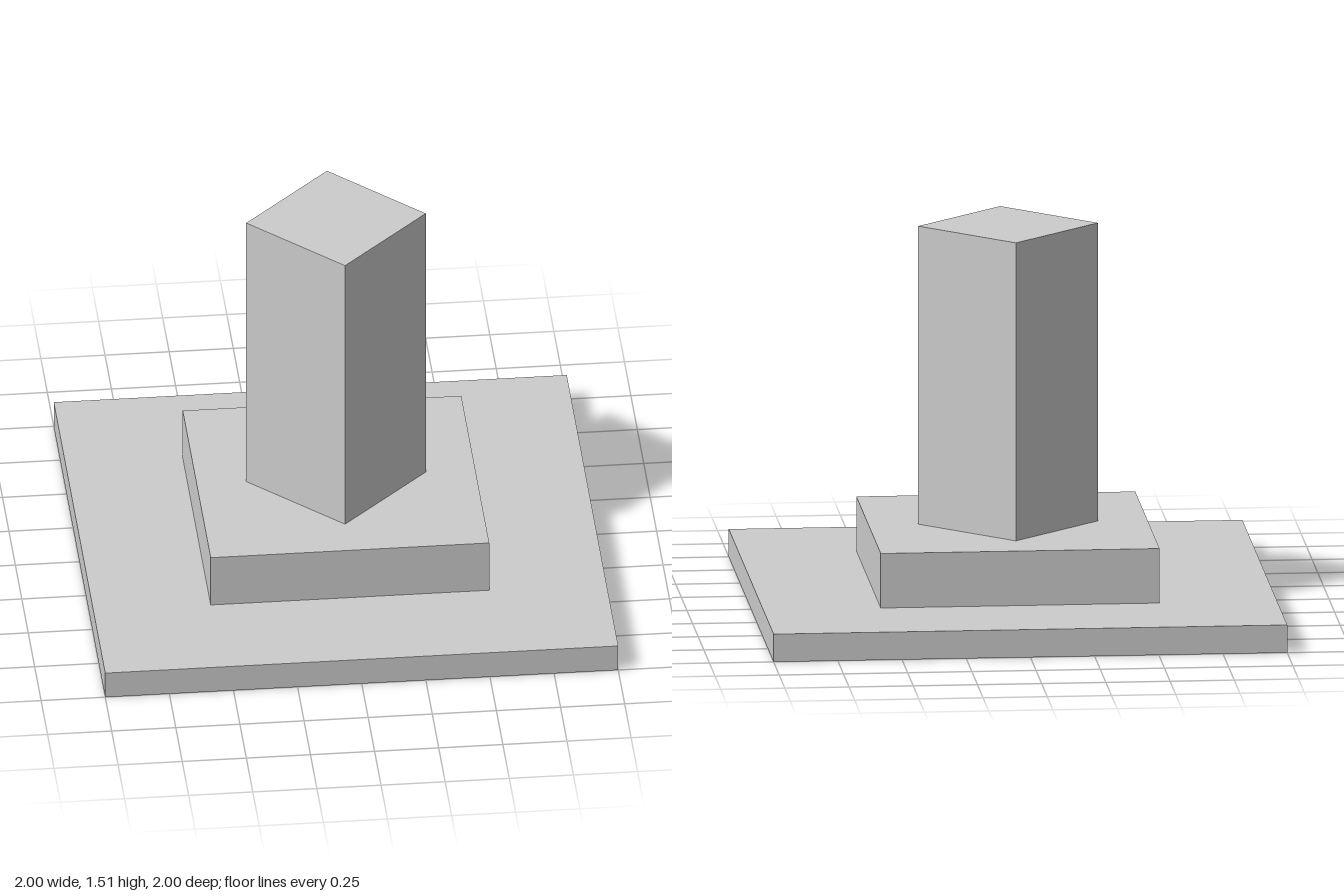
import * as THREE from 'three';

export function createModel() {
  const model = new THREE.Group();
  const material = new THREE.MeshStandardMaterial({ color: 0xcccccc, flatShading: true });

  // Adds a part standing between two heights
  const addPart = (name, geometry, bottom, top) => {
    const mesh = new THREE.Mesh(geometry, material);
    mesh.name = name;
    mesh.position.y = (bottom + top) / 2;
    model.add(mesh);
  };

  const baseTop = 0.11, stepTop = 0.326, pillarTop = 1.507;

  // Wide square slab and smaller plinth
  addPart('baseSlab', new THREE.BoxGeometry(2, baseTop, 2), 0, baseTop);
  addPart('plinth', new THREE.BoxGeometry(1.086, stepTop - baseTop, 1.086), baseTop, stepTop);

  // Square pillar turned 45 degrees, its corners on the axes
  addPart('pillar', new THREE.CylinderGeometry(0.35, 0.35, pillarTop - stepTop, 4), stepTop, pillarTop);

  return model;
}
